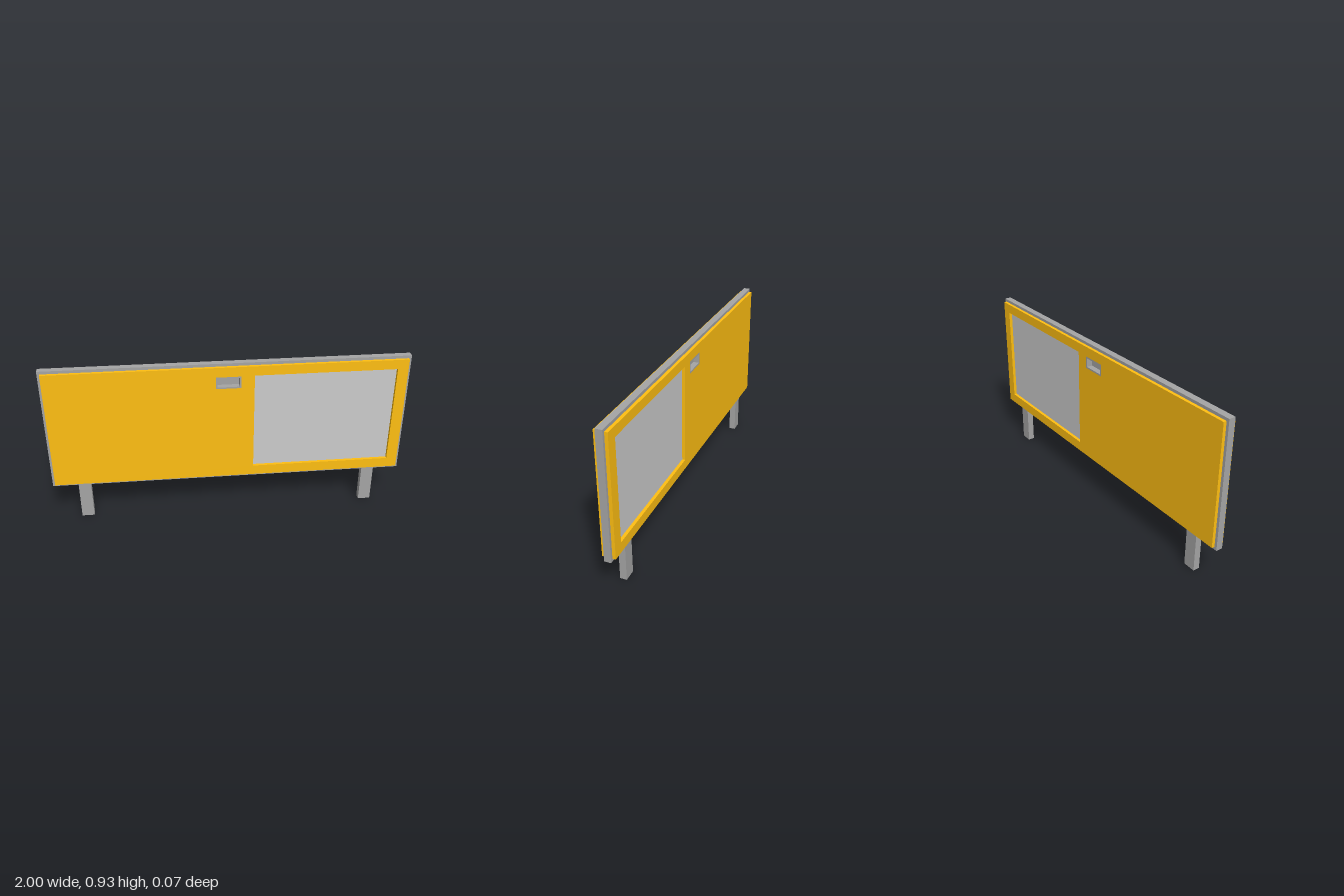
import * as THREE from 'three';

const paneMat = new THREE.MeshStandardMaterial({ color: 0xcccccc });
const frameMat = new THREE.MeshStandardMaterial({ color: 0xa5a5a5 });
const panelMat = new THREE.MeshStandardMaterial({ color: 0xffbf12 });

// Rectangles as [x0, y0, x1, y1]
const BODY = [-1, 0.217, 1, 0.93];
const PANEL = [-0.985, 0.233, 0.985, 0.914];
const WINDOW = [0.14, 0.29, 0.925, 0.86];
const HANDLE = [-0.07, 0.79, 0.068, 0.858];
const GRIP = [-0.061, 0.799, 0.059, 0.849];
const CORE_Z = 0.0185; // half thickness of frame and legs
const FACE_Z = 0.036; // half thickness over both panels

function corners([x0, y0, x1, y1]) {
  return [[x0, y0], [x1, y0], [x1, y1], [x0, y1]].map(([x, y]) => new THREE.Vector2(x, y));
}

// Rectangular plate between two depths, with optional rectangular holes
function plate(name, rect, z0, z1, material, holes = []) {
  const shape = new THREE.Shape(corners(rect));
  holes.forEach((h) => shape.holes.push(new THREE.Path(corners(h).reverse())));
  const geo = new THREE.ExtrudeGeometry(shape, { depth: z1 - z0, bevelEnabled: false });
  geo.translate(0, 0, z0);
  const mesh = new THREE.Mesh(geo, material);
  mesh.name = name;
  return mesh;
}

export function createModel() {
  const model = new THREE.Group();
  model.name = 'barrierBoard';

  // Core board showing as a thin frame around the panels
  model.add(plate('frame', BODY, -CORE_Z, CORE_Z, frameMat, [WINDOW, HANDLE]));

  // Coloured panels on both faces
  model.add(plate('frontPanel', PANEL, CORE_Z, FACE_Z, panelMat, [WINDOW, HANDLE]));
  model.add(plate('backPanel', PANEL, -FACE_Z, -CORE_Z, panelMat, [WINDOW, HANDLE]));

  // Recessed window pane
  model.add(plate('windowPane', WINDOW, -CORE_Z, CORE_Z, paneMat));

  // Grip: rim through the board with a thin floor in the middle
  const handle = new THREE.Group();
  handle.name = 'handle';
  handle.add(plate('handleRim', HANDLE, -FACE_Z, FACE_Z, frameMat, [GRIP]));
  handle.add(plate('handleFloor', GRIP, -0.003, 0.003, frameMat));
  model.add(handle);

  // Legs
  for (const [name, x] of [['leftLeg', 0.823], ['rightLeg', -0.823]]) {
    model.add(plate(name, [x - 0.035, 0, x + 0.035, BODY[1]], -CORE_Z, CORE_Z, frameMat));
  }
  return model;
}
